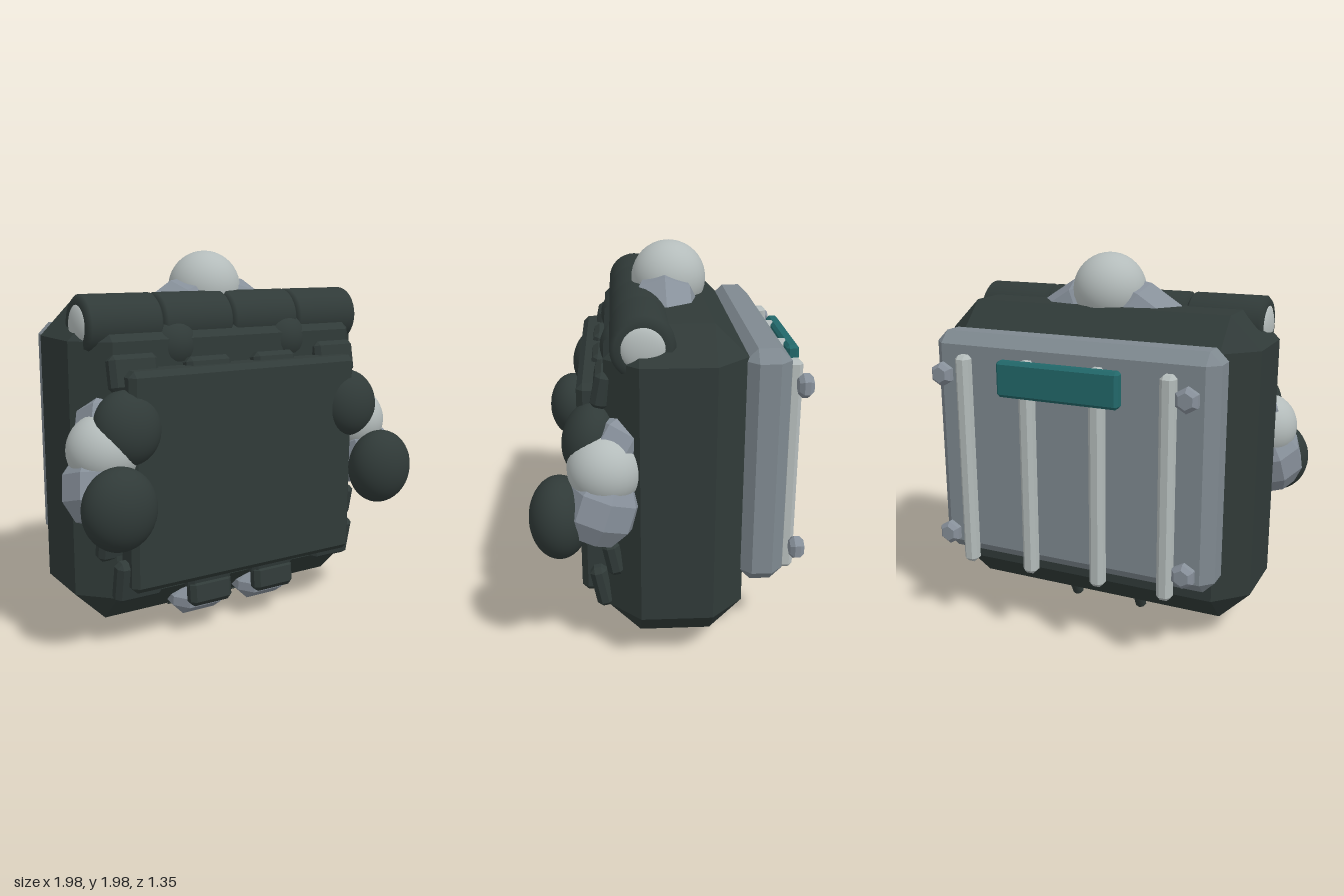
import * as THREE from 'three';
import { ConvexGeometry } from 'three/addons/geometries/ConvexGeometry.js';

const mat = (name, color, flatShading = false) => {
  const m = new THREE.MeshStandardMaterial({ color });
  m.name = name;
  m.flatShading = flatShading;
  return m;
};

export function createModel() {
  const root = new THREE.Group();
  root.name = 'armouredTorso';
  const dark = mat('darkArmour', 0x303a38);
  const grey = mat('grey', 0x87909a);
  const plate = mat('plateGrey', 0x7f8990);
  const light = mat('lightMetal', 0xb4bcbb);
  const teal = mat('teal', 0x22686a);

  const add = (name, geo, material, x = 0, y = 0, z = 0) => {
    const mesh = new THREE.Mesh(geo, material);
    mesh.name = name;
    mesh.position.set(x, y, z);
    root.add(mesh);
    return mesh;
  };

  // Box with every edge cut by the same bevel
  const chamferBox = (w, h, d, b) => {
    const half = [w / 2, h / 2, d / 2], pts = [];
    for (const sx of [-1, 1]) for (const sy of [-1, 1]) for (const sz of [-1, 1])
      for (let face = 0; face < 3; face++) {
        const c = half.map((v, i) => (i === face ? v : v - b));
        pts.push(new THREE.Vector3(c[0] * sx, c[1] * sy, c[2] * sz));
      }
    return new ConvexGeometry(pts);
  };

  // Faceted limb with tapered ends between two points
  const limb = (name, a, b, r, sides, material) => {
    const from = new THREE.Vector3(...a), to = new THREE.Vector3(...b);
    const len = from.distanceTo(to);
    const profile = [[0, 0], [r * 0.65, 0], [r, len * 0.3], [r, len * 0.7], [r * 0.65, len], [0, len]]
      .map(([px, py]) => new THREE.Vector2(px, py - len / 2));
    const geo = new THREE.LatheGeometry(profile, sides).toNonIndexed();
    geo.computeVertexNormals();
    const mesh = add(name, geo, material);
    mesh.position.copy(from).lerp(to, 0.5);
    mesh.quaternion.setFromUnitVectors(new THREE.Vector3(0, 1, 0), to.sub(from).normalize());
    return mesh;
  };

  const ball = (name, r, material, x, y, z, sx = 1, sy = 1, sz = 1) => {
    const m = add(name, new THREE.SphereGeometry(r, 32, 20), material, x, y, z);
    m.scale.set(sx, sy, sz);
    return m;
  };

  // Main body, front panel and back plate
  add('body', chamferBox(1.74, 1.6, 0.67, 0.16), dark, 0, 0.92, -0.025);
  add('frontPanel', chamferBox(1.36, 1.1, 0.16, 0.03), dark, 0, 0.88, 0.36);
  add('backPlate', chamferBox(1.54, 1.2, 0.22, 0.06), plate, 0, 1.0, -0.45);

  // Neck ball
  ball('neckBall', 0.193, light, 0, 1.79, -0.03);

  // Teal back strip
  add('backStrip', chamferBox(0.65, 0.18, 0.065, 0.015), teal, 0, 1.41, -0.642);

  // Four-part roll across the shoulders
  const rollProfile = [[0.1, -0.203], [0.13, -0.203], [0.15, -0.185], [0.15, 0.185], [0.13, 0.203], [0.1, 0.203]]
    .map(([x, y]) => new THREE.Vector2(x, y));
  for (const x of [-0.61, -0.203, 0.203, 0.61]) {
    const geo = new THREE.LatheGeometry(rollProfile, 32).toNonIndexed();
    const roll = add('shoulderRoll', geo, dark, x, 1.63, 0.13);
    roll.rotation.z = Math.PI / 2;
  }

  for (const s of [-1, 1]) {
    ball('rollEnd', 0.112, light, s * 0.79, 1.63, 0.13, 0.4, 1, 1);
    ball('chestBall', 0.15, dark, s * 0.34, 1.52, 0.18);
    limb('collar', [0, 1.76, 0], [s * 0.42, 1.49, 0], 0.18, 8, grey);

    // Arm joint, arm segments and rounded pads
    ball('armJoint', 0.18, light, s * 0.77, 1.05, 0.31);
    limb('upperArm', [s * 0.76, 1.06, 0.3], [s * 0.68, 1.25, 0.18], 0.15, 7, grey);
    limb('lowerArm', [s * 0.78, 1.02, 0.28], [s * 0.83, 0.72, 0.38], 0.18, 8, grey);
    const shoulderPad = ball('upperArmPad', 0.17, dark, s * 0.675, 1.16, 0.38, 1, 1.08, 0.78);
    shoulderPad.rotation.x = -0.2;
    ball('lowerArmPad', 0.185, dark, s * 0.795, 0.815, 0.53, 1, 1.09, 0.78);

    // Back bars
    for (const x of [0.19, 0.55])
      add('backBar', chamferBox(0.075, 1.12, 0.075, 0.02), light, s * x, 0.94, -0.605);

    // Six-sided back bolts
    for (const y of [0.54, 1.4]) {
      const bolt = limb('backBolt', [s * 0.655, y, -0.675], [s * 0.655, y, -0.605], 0.062, 6, grey);
      bolt.name = 'backBolt';
    }

    // Tilted pads above and below the front panel: x, y, z, width, height, tilt
    const pads = [
      [0.2, 1.38, 0.34, 0.26, 0.18, -0.2],
      [0.61, 1.41, 0.32, 0.26, 0.18, -0.2],
      [0.2, 0.38, 0.35, 0.26, 0.26, 0.2],
      [0.2, 0.24, 0.35, 0.25, 0.14, -0.1],
      [0.61, 0.38, 0.34, 0.26, 0.22, 0.2],
      [0.68, 0.57, 0.28, 0.24, 0.18, 0.2],
    ];
    for (const [x, y, z, w, h, tilt] of pads)
      add('strapPad', chamferBox(w, h, 0.085, 0.025), dark, s * x, y, z).rotation.x = tilt;

    // Faceted hip stub with a small slanted pin
    add('hipStub', chamferBox(0.32, 0.18, 0.33, 0.065), grey, s * 0.205, 0.19, 0.16).rotation.x = 0.15;
    const pin = add('hipPin', new THREE.CylinderGeometry(0.032, 0.032, 0.17, 8), dark, s * 0.2, 0.092, -0.085);
    pin.rotation.x = -0.48;
  }
  return root;
}
